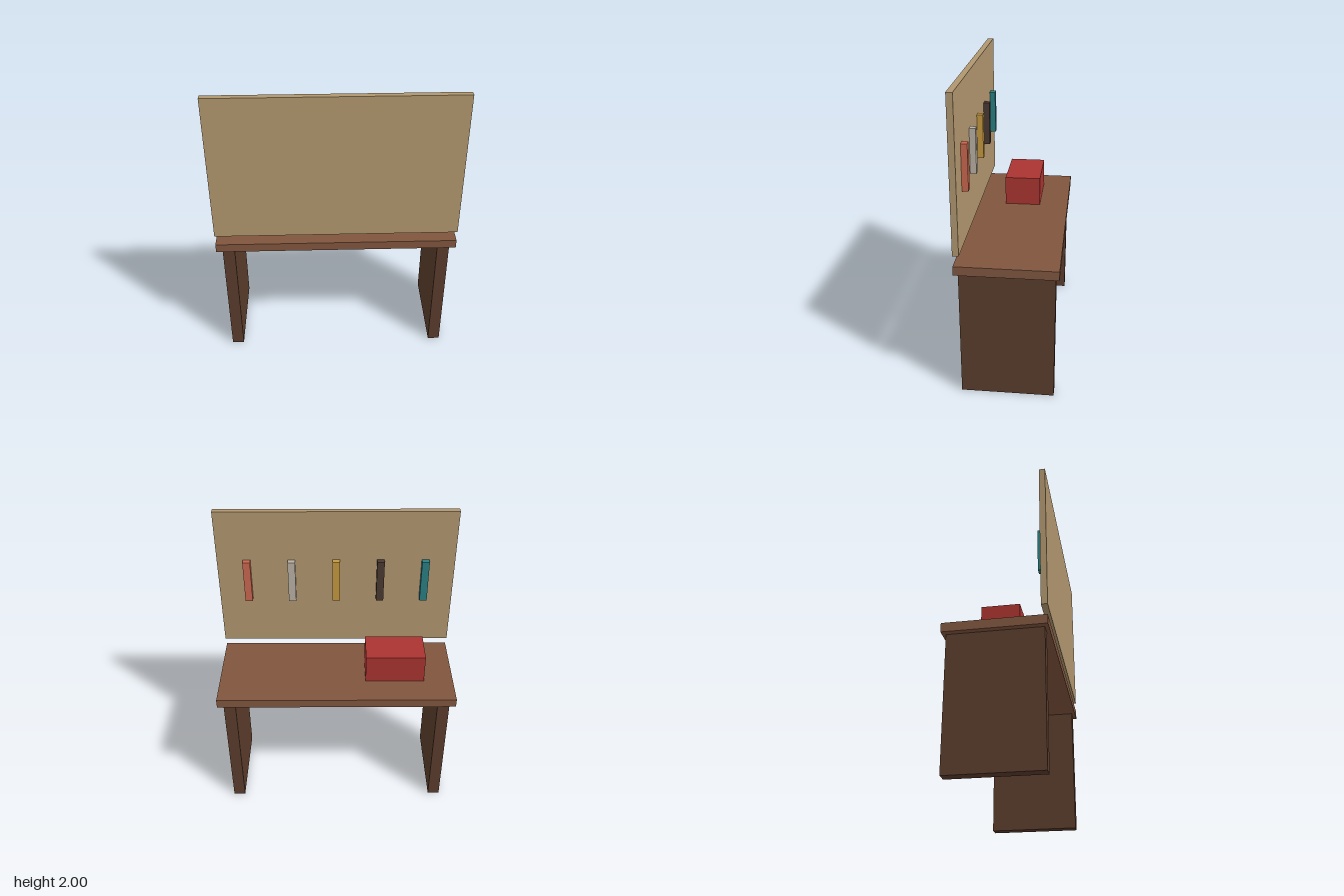
import * as THREE from 'three';

export function createModel() {
  const model = new THREE.Group();
  model.name = 'workbench';

  // Adds a box given its base centre (x, y, z) and size (w, h, d)
  const addBox = (name, color, [w, h, d], [x, y, z]) => {
    const material = new THREE.MeshStandardMaterial({ color });
    const mesh = new THREE.Mesh(new THREE.BoxGeometry(w, h, d), material);
    mesh.name = name;
    mesh.position.set(x, y + h / 2, z);
    model.add(mesh);
  };

  // Bench: two slab legs under an overhanging top
  for (const side of [-1, 1]) {
    addBox(side > 0 ? 'leftLeg' : 'rightLeg', 0x5a3c2c, [0.08, 0.87, 0.6], [side * 0.72, 0, 0]);
  }
  addBox('benchTop', 0x80563e, [1.6, 0.06, 0.646], [0, 0.87, 0]);

  // Toolbox resting on the bench
  addBox('toolbox', 0xa93430, [0.4, 0.2, 0.246], [-0.4, 0.93, 0]);

  // Upright tool board, floating just above the bench edge
  addBox('toolBoard', 0xb0966e, [1.6, 1, 0.04], [0, 1, 0.303]);

  // Row of tools hanging on the bench side of the board
  const toolColors = [0x2a7f82, 0x4a3830, 0xc4983f, 0xb8b0a4, 0xc8664e];
  toolColors.forEach((color, i) => {
    addBox(`tool${i + 1}`, color, [0.05, 0.3, 0.04], [-0.6 + i * 0.3, 1.35, 0.263]);
  });

  return model;
}
